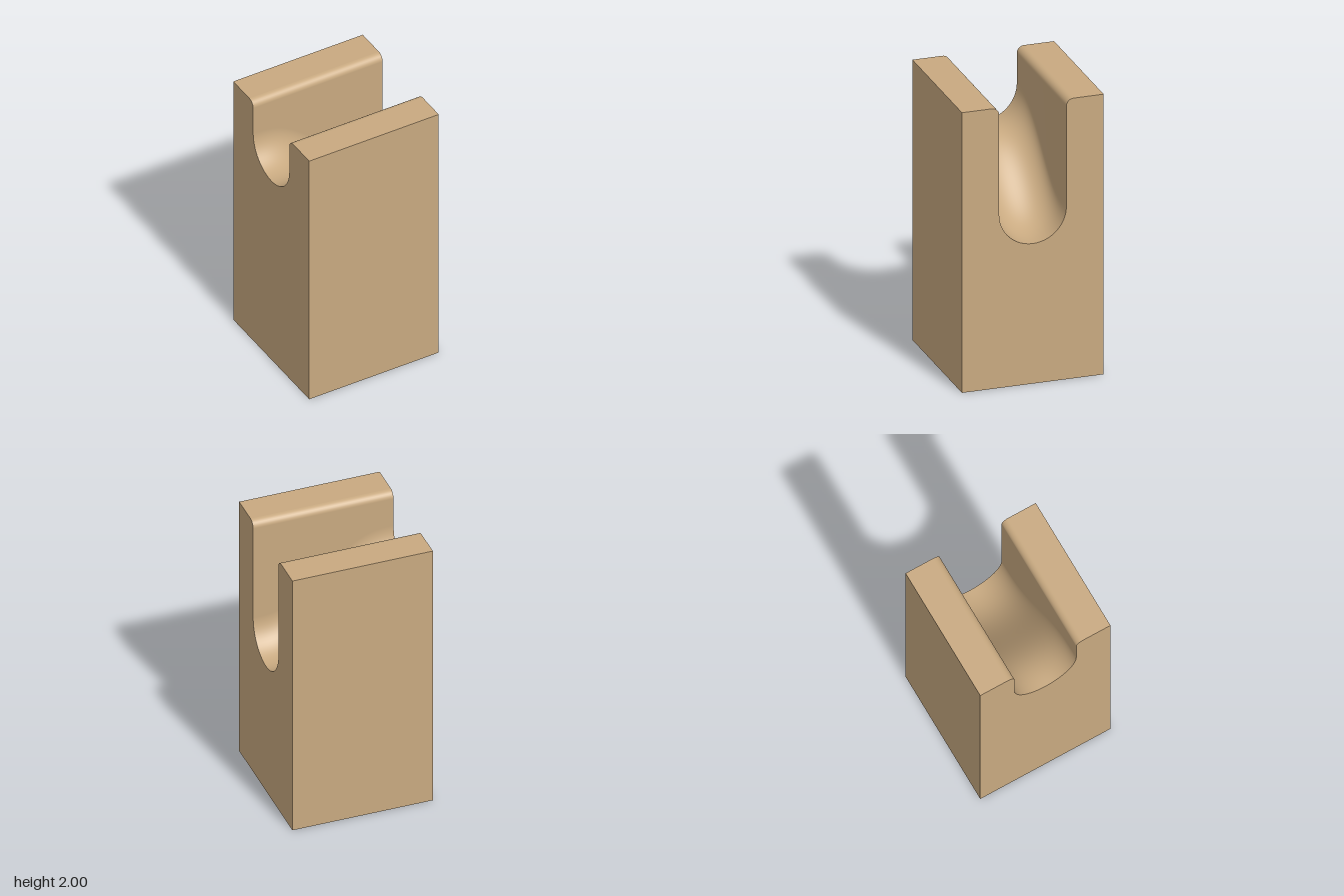
import * as THREE from 'three';

const HALF = 0.497, TOP = 2;   // block half width and height
const R = 0.236, LIP = 0.05;   // groove radius and rounded lip radius
const ARC = 32, LIP_STEPS = 8, STEPS = 48;

// Groove floor height: an S-curve falling from 1.5 to 1 along x
function floorAt(x) {
  return 1.5 - 0.5 * THREE.MathUtils.smootherstep(x, -HALF, HALF);
}

// Groove cross-section as [u, y], running from u = -(R + LIP) to u = R + LIP
function grooveProfile(x) {
  const centre = floorAt(x) + R;
  const lip = [], points = [];
  for (let i = 0; i <= LIP_STEPS; i++) {
    const a = (i / LIP_STEPS) * Math.PI / 2;
    lip.push([R + LIP - LIP * Math.sin(a), TOP - LIP + LIP * Math.cos(a)]);
  }
  lip.forEach(([u, y]) => points.push([-u, y]));
  for (let i = 0; i <= ARC; i++) {
    const a = Math.PI * (1 + i / ARC);
    points.push([R * Math.cos(a), centre + R * Math.sin(a)]);
  }
  lip.reverse().forEach(([u, y]) => points.push([u, y]));
  return points;
}

// Smooth surface lofted through the groove cross-sections
function grooveGeometry() {
  const positions = [], index = [];
  let n = 0;
  for (let i = 0; i <= STEPS; i++) {
    const x = HALF * (2 * i / STEPS - 1);
    const row = grooveProfile(x);
    n = row.length;
    row.forEach(([u, y]) => positions.push(x, y, -u));
  }
  for (let i = 0; i < STEPS; i++) {
    for (let j = 0; j < n - 1; j++) {
      const a = i * n + j, b = a + n;
      index.push(a, b, a + 1, b, b + 1, a + 1);
    }
  }
  const g = new THREE.BufferGeometry();
  g.setAttribute('position', new THREE.Float32BufferAttribute(positions, 3));
  g.setIndex(index);
  g.computeVertexNormals();
  return g;
}

// Flat end face with the groove cut out of its top
function endGeometry(side) {
  const outline = [[-HALF, 0], [HALF, 0], [HALF, TOP],
    ...grooveProfile(side * HALF).reverse(), [-HALF, TOP]];
  const shape = new THREE.Shape(outline.map(([u, y]) => new THREE.Vector2(u, y)));
  return new THREE.ShapeGeometry(shape)
    .rotateY(side * Math.PI / 2).translate(side * HALF, 0, 0);
}

export function createModel() {
  const wood = new THREE.MeshStandardMaterial({ color: 0xc8a980 });
  wood.name = 'tan';
  const group = new THREE.Group();
  group.name = 'groovedBlock';
  const add = (name, geometry) => {
    const mesh = new THREE.Mesh(geometry, wood);
    mesh.name = name;
    group.add(mesh);
  };

  add('groove', grooveGeometry());
  add('leftEnd', endGeometry(1));
  add('rightEnd', endGeometry(-1));

  // Outer walls, top strips and base
  const width = 2 * HALF, inner = R + LIP;
  add('frontWall', new THREE.PlaneGeometry(width, TOP).translate(0, TOP / 2, HALF));
  add('backWall', new THREE.PlaneGeometry(width, TOP).rotateY(Math.PI).translate(0, TOP / 2, -HALF));
  add('base', new THREE.PlaneGeometry(width, width).rotateX(Math.PI / 2));
  for (const [name, s] of [['frontTop', 1], ['backTop', -1]]) {
    add(name, new THREE.PlaneGeometry(width, HALF - inner).rotateX(-Math.PI / 2)
      .translate(0, TOP, s * (HALF + inner) / 2));
  }
  return group;
}
